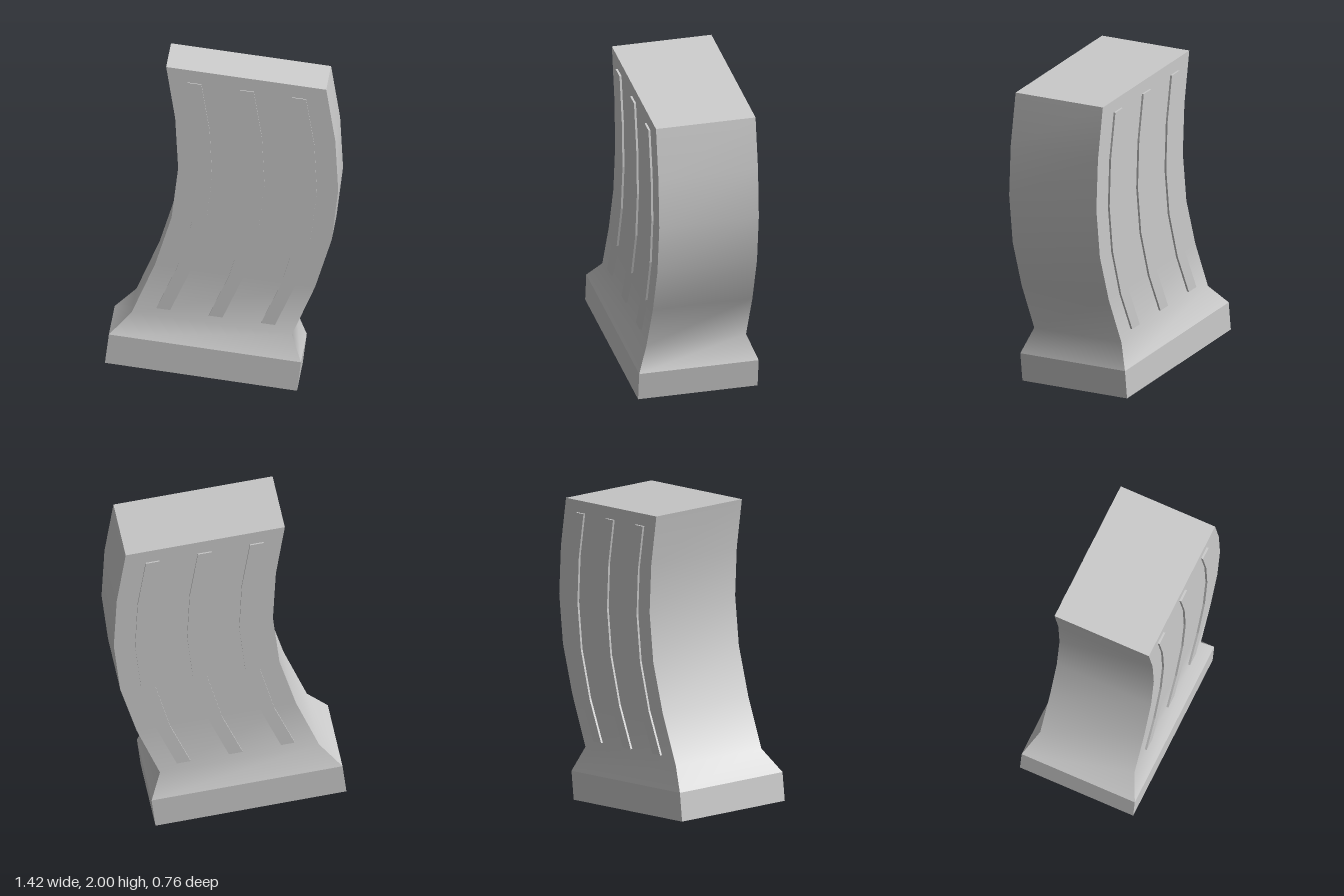
import * as THREE from 'three';
import { toCreasedNormals } from 'three/addons/utils/BufferGeometryUtils.js';

const material = new THREE.MeshStandardMaterial({ color: 0xcccccc });

// Cross-sections from bottom to top: left x, left y, right x, right y, half depth
const baseSections = [
  [-0.71, 0.162, 0.46, 0, 0.378],
  [-0.686, 0.339, 0.484, 0.178, 0.378],
];
const bodySections = [
  baseSections[1],
  [-0.55, 0.465, 0.425, 0.335, 0.315],
  [-0.408, 0.765, 0.567, 0.635, 0.315],
  [-0.307, 1.06, 0.668, 0.93, 0.315],
  [-0.267, 1.368, 0.708, 1.237, 0.315],
  [-0.285, 1.68, 0.69, 1.55, 0.315],
  [-0.34, 2, 0.635, 1.868, 0.315],
];

// Skins rectangular sections, closing the bottom or the top
function loft(sections, capBottom, capTop) {
  const positions = [];
  const index = [];
  for (const [xl, yl, xr, yr, h] of sections) {
    positions.push(xl, yl, h, xr, yr, h, xr, yr, -h, xl, yl, -h);
  }
  for (let s = 0; s < sections.length - 1; s++) {
    for (let i = 0; i < 4; i++) {
      const a = s * 4 + i;
      const b = s * 4 + ((i + 1) % 4);
      index.push(a, b, b + 4, a, b + 4, a + 4);
    }
  }
  const t = (sections.length - 1) * 4;
  if (capBottom) index.push(0, 2, 1, 0, 3, 2);
  if (capTop) index.push(t, t + 1, t + 2, t, t + 2, t + 3);
  const geometry = new THREE.BufferGeometry();
  geometry.setAttribute('position', new THREE.Float32BufferAttribute(positions, 3));
  geometry.setIndex(index);
  return toCreasedNormals(geometry, THREE.MathUtils.degToRad(50));
}

// Thin curved strip that follows the bend of the body
function stripGeometry(depth) {
  const edge = [[-0.4, 0.495], [-0.275, 0.745], [-0.182, 1.035], [-0.145, 1.327], [-0.16, 1.62], [-0.21, 1.905]];
  const left = edge.map(([x, y]) => new THREE.Vector2(x, y));
  const right = left.map((p) => new THREE.Vector2(p.x + 0.085, p.y - 0.011));
  const shape = new THREE.Shape([...right, ...left.reverse()]);
  return new THREE.ExtrudeGeometry(shape, { depth, bevelEnabled: false });
}

export function createModel() {
  const group = new THREE.Group();
  const add = (name, geometry) => {
    const mesh = new THREE.Mesh(geometry, material);
    mesh.name = name;
    group.add(mesh);
    return mesh;
  };

  add('base', loft(baseSections, true, false));
  add('curvedBody', loft(bodySections, false, true));

  // Three raised strips on the front and three on the back
  const depth = 0.025;
  const strip = stripGeometry(depth);
  for (let i = 0; i < 3; i++) {
    add('frontStrip' + (i + 1), strip).position.set(i * 0.319, i * -0.043, 0.328 - depth);
    add('backStrip' + (i + 1), strip).position.set(i * 0.319, i * -0.043, -0.328);
  }
  return group;
}
